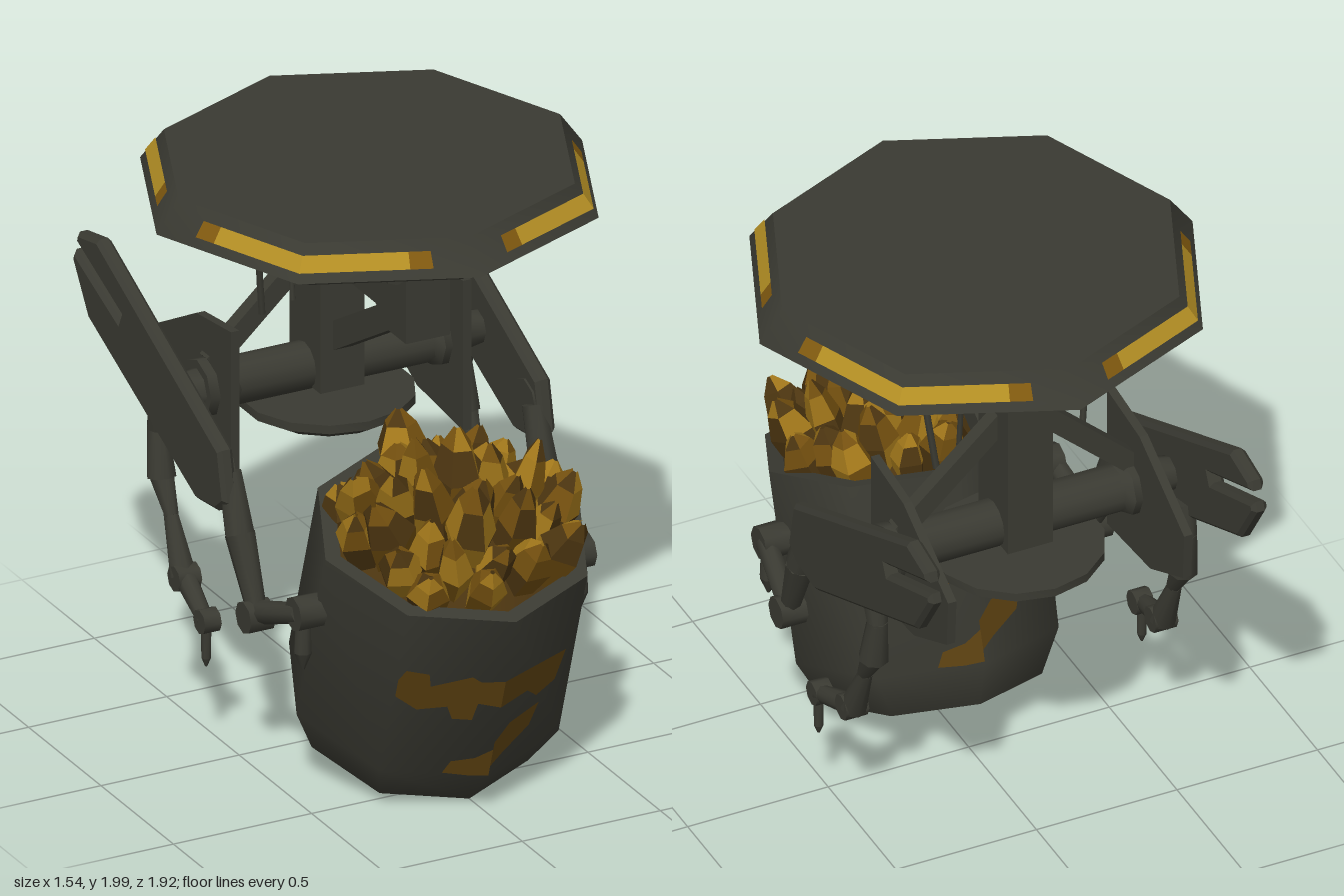
import * as THREE from 'three';
import { toCreasedNormals } from 'three/addons/utils/BufferGeometryUtils.js';

const mat = (name, color, extra = {}) => {
  const m = new THREE.MeshStandardMaterial({ color, ...extra });
  m.name = name;
  return m;
};
const V = (x, y, z) => new THREE.Vector3(x, y, z);
const UP = V(0, 1, 0);

export function createModel() {
  const metal = mat('dark metal', 0x3a3a32);
  const gold = mat('gold trim', 0xb48f24);
  const worn = mat('worn trim', 0x80590f);
  const paint = mat('faded paint', 0x5a3f10, { side: THREE.DoubleSide });
  const crystalMats = [mat('bright crystal', 0xa0761a), mat('amber crystal', 0x74500f), mat('deep crystal', 0x4c3510)];
  const model = new THREE.Group();

  let seed = 7;
  const rand = () => (seed = (seed * 16807) % 2147483647) / 2147483647;

  const add = (name, geo, parent = model, material = metal) => {
    const m = new THREE.Mesh(geo, material);
    m.name = name;
    parent.add(m);
    return m;
  };
  const lathe = (pts, sides = 8) =>
    toCreasedNormals(new THREE.LatheGeometry(pts.map(p => new THREE.Vector2(p[0], p[1])), sides), 0.9);
  const place = (mesh, a, b) => {
    mesh.position.copy(a).add(b).multiplyScalar(0.5);
    mesh.quaternion.setFromUnitVectors(UP, b.clone().sub(a).normalize());
    return mesh;
  };
  const rod = (name, a, b, r0, r1 = r0, sides = 8) =>
    place(add(name, toCreasedNormals(new THREE.CylinderGeometry(r1, r0, a.distanceTo(b), sides), 0.9)), a, b);
  const beam = (name, a, b, w, d) => place(add(name, new THREE.BoxGeometry(w, a.distanceTo(b), d)), a, b);
  // Plate drawn in (z, y), centred on x with thickness t
  const slab = (name, pts, x, t, bevel = 0) => {
    const g = new THREE.ExtrudeGeometry(new THREE.Shape(pts.map(p => new THREE.Vector2(p[0], p[1]))), {
      depth: t - 2 * bevel, bevelEnabled: bevel > 0, bevelThickness: bevel,
      bevelSize: bevel, bevelOffset: -bevel, bevelSegments: 1,
    });
    g.translate(0, 0, -(t - 2 * bevel) / 2).rotateY(-Math.PI / 2).translate(x, 0, 0);
    return add(name, g);
  };
  const cable = (name, pts, r) =>
    add(name, new THREE.TubeGeometry(new THREE.CatmullRomCurve3(pts), 16, r, 6));

  // Octagonal canopy
  const zc = -0.055;
  add('canopy', lathe([[0, 1.83], [0.64, 1.83], [0.67, 1.868], [0.77, 1.89], [0.69, 2], [0, 2]])).position.z = zc;

  // Trim strips bent around the four diagonal corners of the canopy
  const rimPoint = (k, t, y) => {
    const r = 0.775 - 0.08 * (y - 1.89) / 0.11;
    const corner = n => V(r * Math.sin(n * Math.PI / 4), y, r * Math.cos(n * Math.PI / 4) + zc);
    const i = t < 1 ? 0 : 1;
    return corner(2 * k + i).lerp(corner(2 * k + i + 1), t - i);
  };
  const strip = (k, t0, t1, material) => {
    const end = t1 === 1 ? 0.99999 : t1;
    const pts = [rimPoint(k, t0, 1.92), rimPoint(k, end, 1.92), rimPoint(k, t0, 1.968), rimPoint(k, end, 1.968)];
    const g = new THREE.BufferGeometry().setFromPoints(pts);
    g.setIndex([0, 1, 2, 2, 1, 3]);
    g.computeVertexNormals();
    add('canopyTrim', g, model, material);
  };
  for (let k = 0; k < 4; k++) {
    strip(k, 0.25, 0.38, worn);
    strip(k, 0.38, 1, gold);
    strip(k, 1, 1.62, gold);
    strip(k, 1.62, 1.75, worn);
  }

  // Central column, hanger block and braces
  slab('column', [[-0.24, 1.84], [-0.455, 1.84], [-0.455, 1.1], [-0.24, 1.1]], 0, 0.16);
  slab('hangerBlock', [[0.35, 1.84], [0.35, 1.52], [0.22, 1.52], [0.14, 1.58], [-0.25, 1.58], [-0.25, 1.84]], 0, 0.16);
  beam('centreBrace', V(0, 1.56, 0.2), V(0, 1.25, -0.32), 0.07, 0.09);

  // Cross shaft with its turntable
  rod('crossShaft', V(-0.4, 1.16, -0.35), V(0.4, 1.16, -0.35), 0.08, 0.08, 12);
  add('turntable', lathe([[0, 0.99], [0.22, 0.99], [0.29, 1.03], [0.29, 1.06], [0, 1.06]], 14)).position.z = -0.35;
  rod('turntableHub', V(0, 0.93, -0.35), V(0, 1.0, -0.35), 0.05, 0.07);

  for (const s of [1, -1]) {
    const P = (x, y, z) => V(s * x, y, z);
    beam('sideBrace', P(0.05, 1.58, -0.355), P(0.42, 1.24, -0.355), 0.07, 0.05);
    rod('shaftCollar', P(0.34, 1.16, -0.35), P(0.38, 1.16, -0.35), 0.075, 0.1);
    rod('shaftCollar', P(0.38, 1.16, -0.35), P(0.47, 1.16, -0.35), 0.1, 0.1);
    rod('shaftHub', P(0.47, 1.16, -0.35), P(0.56, 1.16, -0.35), 0.07, 0.055);

    // Inner and outer side plates
    slab('innerPlate', [[-0.18, 1.42], [-0.42, 1.39], [-0.75, 1.21], [-0.74, 1.04], [-0.5, 0.92], [-0.18, 0.89]], s * 0.42, 0.03);
    slab('outerBlade', [[0.053, 1.13], [0.09, 0.96], [0.03, 0.91], [-0.11, 0.894], [-0.854, 1.227], [-0.965, 1.397],
      [-0.952, 1.43], [-0.645, 1.305], [-0.63, 1.335], [-0.94, 1.465], [-0.93, 1.5], [-0.79, 1.53]], s * 0.575, 0.055, 0.014);
    rod('bladeBoss', P(0.54, 1.03, -0.02), P(0.565, 1.03, -0.02), 0.08, 0.08);

    // Front arm gripping the bucket
    rod('frontArmUpper', P(0.55, 1.04, 0.03), P(0.55, 0.85, 0.1), 0.04, 0.05);
    rod('frontArmUpper', P(0.55, 0.85, 0.1), P(0.54, 0.61, 0.2), 0.05, 0.033);
    rod('frontElbow', P(0.5, 0.6, 0.2), P(0.59, 0.6, 0.2), 0.055);
    rod('frontForearm', P(0.54, 0.61, 0.2), P(0.51, 0.7, 0.44), 0.04, 0.035);
    rod('frontWrist', P(0.44, 0.7, 0.44), P(0.535, 0.7, 0.44), 0.058);
    rod('frontFinger', P(0.5, 0.68, 0.44), P(0.5, 0.56, 0.44), 0.025, 0.03);
    rod('frontFinger', P(0.5, 0.56, 0.44), P(0.5, 0.5, 0.44), 0.03, 0.006);

    // Rear arm
    rod('rearArmUpper', P(0.55, 1.1, -0.44), P(0.55, 0.98, -0.47), 0.045, 0.035);
    rod('rearArmUpper', P(0.55, 1.0, -0.47), P(0.55, 0.83, -0.44), 0.035, 0.05);
    rod('rearArmLower', P(0.55, 0.85, -0.45), P(0.55, 0.72, -0.37), 0.045, 0.024);
    rod('rearArmLower', P(0.55, 0.73, -0.38), P(0.55, 0.54, -0.29), 0.024, 0.045);
    rod('rearElbow', P(0.51, 0.54, -0.28), P(0.59, 0.54, -0.28), 0.045);
    rod('rearForearm', P(0.55, 0.54, -0.28), P(0.575, 0.47, -0.09), 0.038, 0.028);
    rod('rearWrist', P(0.54, 0.47, -0.085), P(0.6, 0.47, -0.085), 0.042);
    rod('rearFinger', P(0.575, 0.46, -0.085), P(0.575, 0.34, -0.085), 0.018, 0.016);
    rod('rearFinger', P(0.575, 0.34, -0.085), P(0.575, 0.31, -0.085), 0.016, 0.004);

    // Canisters, pump and cables under the canopy
    for (const [x, z] of [[0.28, -0.25], [0.21, -0.35]]) {
      rod('canister', P(x, 1.74, z), P(x, 1.84, z), 0.055);
      rod('canisterCap', P(x, 1.71, z), P(x, 1.74, z), 0.035, 0.055);
    }
    cable('longCable', [P(0.29, 1.72, -0.25), P(0.28, 1.58, -0.28), P(0.26, 1.4, -0.3)], 0.012);
    cable('shortCable', [P(0.17, 1.74, -0.35), P(0.165, 1.6, -0.29), P(0.165, 1.44, -0.27)], 0.01);
    rod('pump', P(0.11, 1.785, 0.13), P(0.11, 1.785, 0.35), 0.05);
    beam('pipe', P(0.12, 1.78, 0.14), P(0.12, 1.76, 0.05), 0.03, 0.03);
    beam('pipe', P(0.12, 1.77, 0.06), P(0.12, 1.66, -0.05), 0.03, 0.03);
    beam('pipe', P(0.12, 1.65, -0.05), P(0.12, 1.84, -0.18), 0.03, 0.03);
  }

  // Tilted bucket, with its origin at the centre of the rim
  const bucket = new THREE.Group();
  bucket.name = 'bucket';
  bucket.position.set(0, 0.91, 0.52);
  bucket.rotation.x = 0.307;
  model.add(bucket);
  add('bucketShell', lathe([[0, -0.94], [0.38, -0.82], [0.46, -0.66], [0.46, 0], [0.405, 0], [0.39, -0.16], [0, -0.16]]), bucket);

  // Worn paint patches, front and back
  const patches = [
    [[-0.32, 0.27], [-0.3, 0.23], [-0.23, 0.24], [-0.22, 0.29], [-0.1, 0.24], [-0.07, 0.26], [0, 0.25], [0, 0.36],
      [-0.07, 0.35], [-0.08, 0.42], [-0.14, 0.42], [-0.16, 0.37], [-0.25, 0.39], [-0.32, 0.34]],
    [[0, 0.25], [0.28, 0.28], [0.25, 0.39], [0.17, 0.41], [0.12, 0.36], [0, 0.36]],
    [[0.19, 0.45], [0.16, 0.53], [0.05, 0.58], [0, 0.61], [0, 0.51], [0.06, 0.46]],
    [[0, 0.54], [0, 0.65], [-0.06, 0.655], [-0.14, 0.65], [-0.12, 0.6], [-0.05, 0.58]],
  ];
  for (const side of [0, Math.PI]) for (const pts of patches) {
    const g = new THREE.ShapeGeometry(new THREE.Shape(pts.map(([x, d]) => new THREE.Vector2(x, -d))));
    const p = g.attributes.position;
    for (let i = 0; i < p.count; i++) p.setZ(i, 0.465 - 0.414 * Math.abs(p.getX(i)));
    g.computeVertexNormals();
    add('paintPatch', g, bucket, paint).rotation.y = side;
  }

  // Heap of faceted crystals leaning outward
  add('crystalBed', lathe([[0.39, -0.1], [0.25, 0.04], [0, 0.12]]), bucket, crystalMats[2]);
  const count = 34;
  for (let i = 0; i < count; i++) {
    const q = Math.sqrt((i + 0.4) / count), a = i * 2.4 + 0.3;
    const h = 0.48 - 0.2 * q + (rand() - 0.5) * 0.14;
    const r = 0.06 + 0.03 * rand();
    let g = new THREE.LatheGeometry([[r * 0.7, 0], [r, h * 0.62], [r * 0.62, h * 0.86], [r * 0.12, h]]
      .map(c => new THREE.Vector2(c[0], c[1])), 5);
    const p = g.attributes.position, lean = (rand() - 0.5) * 0.8;
    for (let j = 0; j < p.count; j++) {
      p.setX(j, p.getX(j) + lean * Math.max(0, p.getY(j) - h * 0.62));
    }
    g = g.toNonIndexed();
    g.computeVertexNormals();
    for (let f = 0; f < g.attributes.position.count; f += 6) g.addGroup(f, 6, Math.floor(rand() * 2.99));
    const m = add('crystal', g, bucket, crystalMats);
    m.position.set(Math.sin(a) * q * 0.3, -0.12, Math.cos(a) * q * 0.3);
    const tilt = 0.1 + q * 0.33;
    m.quaternion.setFromUnitVectors(UP, V(Math.sin(a) * tilt, 1, Math.cos(a) * tilt).normalize());
    m.rotateY(rand() * 6);
  }
  return model;
}
